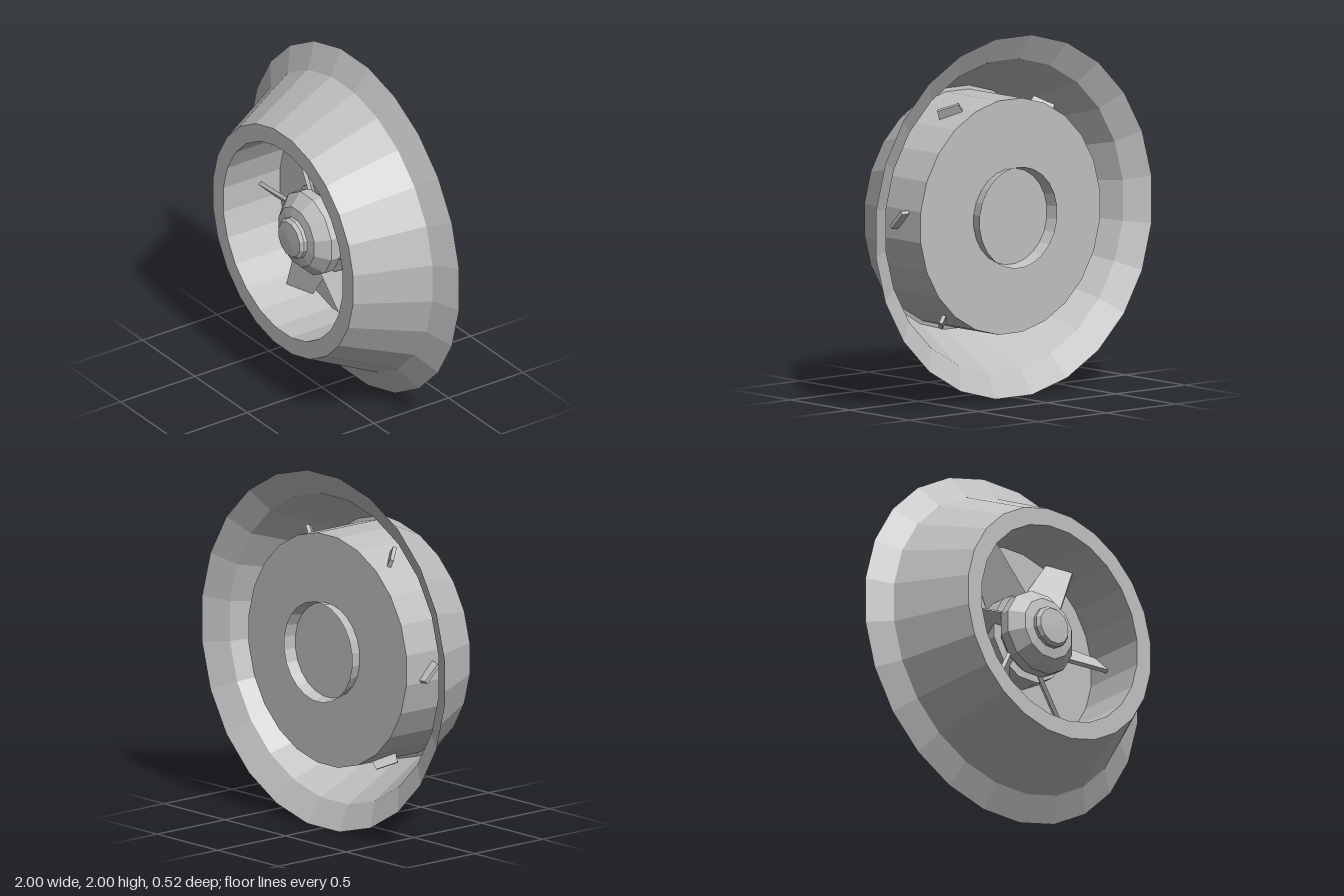
import * as THREE from 'three';

const metal = new THREE.MeshStandardMaterial({ color: 0xc0c0c0, flatShading: true, side: THREE.DoubleSide });
metal.name = 'grey metal';

// Faceted turned part around the z axis; profile is [radius to the flat, z]
function turned(name, profile, sides) {
  const k = 1 / Math.cos(Math.PI / sides);
  const pts = profile.map(([r, z]) => new THREE.Vector2(r * k, z));
  const geo = new THREE.LatheGeometry(pts, sides, Math.PI / sides);
  geo.rotateX(Math.PI / 2);
  const mesh = new THREE.Mesh(geo, metal);
  mesh.name = name;
  return mesh;
}

// Pitched blade, wide at the hub and narrow at the tip
function bladeGeometry() {
  const r0 = 0.18, r1 = 0.7;
  const geo = new THREE.BoxGeometry(r1 - r0, 1, 0.022);
  geo.translate((r0 + r1) / 2, 0, 0);
  const p = geo.attributes.position;
  for (let i = 0; i < p.count; i++) {
    const t = (p.getX(i) - r0) / (r1 - r0);
    p.setY(i, p.getY(i) * THREE.MathUtils.lerp(0.25, 0.125, t));
  }
  geo.rotateX(-Math.PI / 4);
  geo.translate(0, 0, -0.04);
  return geo;
}

export function createModel() {
  const group = new THREE.Group();
  group.name = 'ductedFan';
  const fan = new THREE.Group();
  fan.name = 'fan';
  fan.position.y = 1;
  group.add(fan);

  // Conical shell with flared rear rim
  fan.add(turned('shell', [[1, -0.22], [0.86, -0.14], [0.67, 0.26]], 24));

  // Inner drum with front lip, bore and rear plate
  fan.add(turned('drum', [
    [0, -0.19], [0.65, -0.19], [0.65, 0.255], [0.67, 0.26],
    [0.57, 0.26], [0.57, -0.12], [0, -0.12],
  ], 24));

  // Open collar on the rear plate
  fan.add(turned('rearCollar', [[0.28, -0.26], [0.265, -0.19]], 24));

  // Stepped hub with a bevelled nose
  fan.add(turned('hubBase', [[0.25, -0.12], [0.25, 0.0], [0, 0.0]], 12));
  fan.add(turned('hub', [
    [0.2, 0], [0.235, 0.04], [0.235, 0.1], [0.17, 0.17],
    [0.115, 0.18], [0.115, 0.2], [0.1, 0.22], [0, 0.225],
  ], 12));

  // Six blades passing through the drum wall
  const blade = bladeGeometry();
  for (let i = 0; i < 6; i++) {
    const mesh = new THREE.Mesh(blade, metal);
    mesh.name = 'blade' + (i + 1);
    mesh.rotation.z = THREE.MathUtils.degToRad(2.5 + i * 60);
    fan.add(mesh);
  }
  return group;
}
